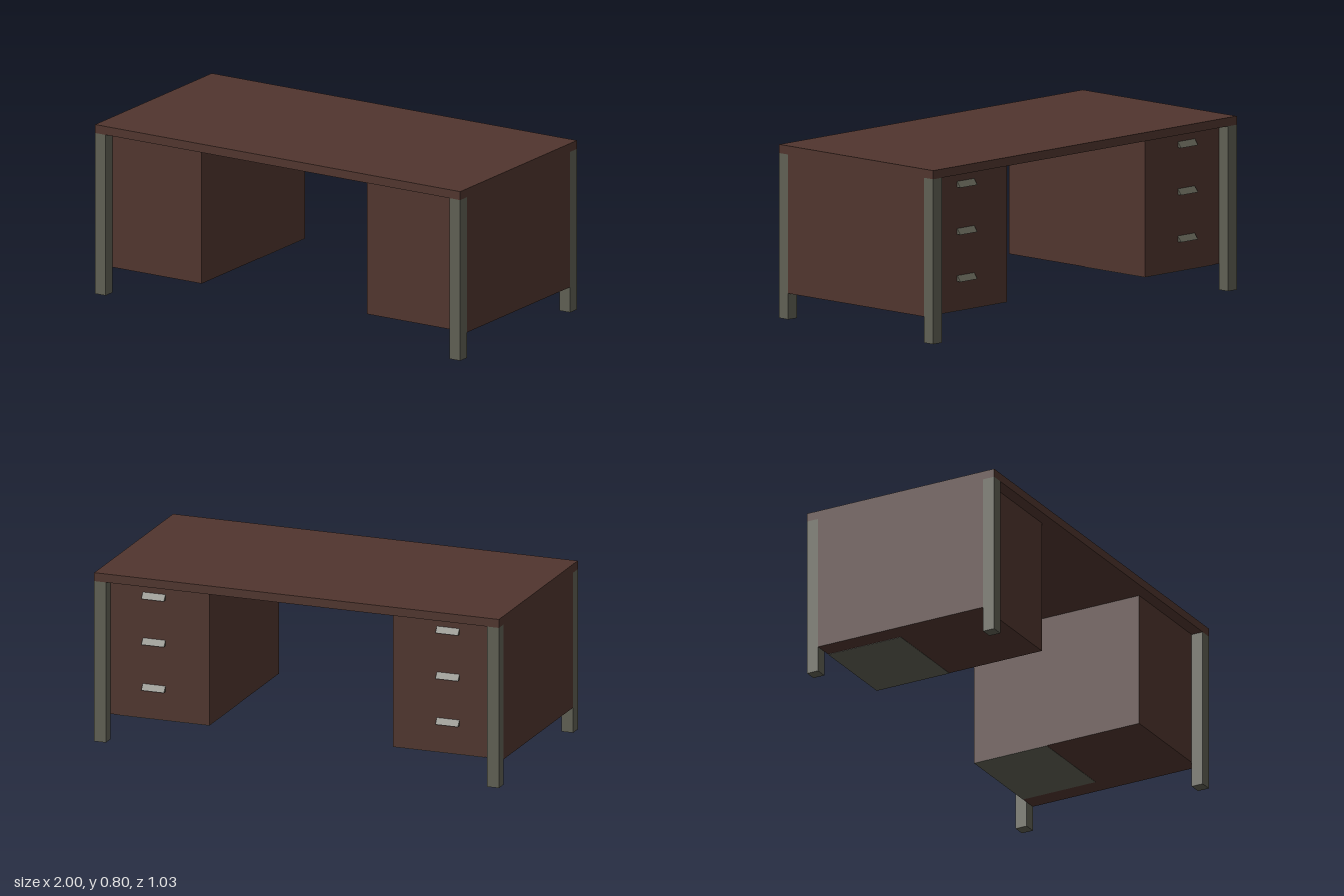
import * as THREE from 'three';

const W = 1.973, D = 0.975, H = 0.8;   // overall size
const TOP = 0.04, LEG = 0.057, UNDER = H - TOP;
const INNER = 0.447, FLOOR = 0.12;     // pedestal inner side and underside

export function createModel() {
  const wood = new THREE.MeshStandardMaterial({ color: 0x50352e });
  wood.name = 'brown wood';
  const metal = new THREE.MeshStandardMaterial({ color: 0x5f5f53 });
  metal.name = 'grey metal';

  const desk = new THREE.Group();
  desk.name = 'desk';
  const add = (name, geometry, material, x, y, z) => {
    const mesh = new THREE.Mesh(geometry, material);
    mesh.name = name;
    mesh.position.set(x, y, z);
    desk.add(mesh);
  };

  // Table top
  add('tableTop', new THREE.BoxGeometry(W, TOP, D), wood, 0, H - TOP / 2, 0);

  // Wedge-shaped pull, sloping down and away from the drawer face
  const pullWidth = 0.11;
  const wedge = new THREE.Shape([
    new THREE.Vector2(0, 0), new THREE.Vector2(0.021, 0), new THREE.Vector2(0, 0.027),
  ]);
  const pull = new THREE.ExtrudeGeometry(wedge, { depth: pullWidth, bevelEnabled: false });
  pull.translate(0, 0, -pullWidth / 2);
  pull.rotateY(Math.PI / 2);

  const pedW = W / 2 - INNER, pedD = D - 2 * LEG;
  const pedX = (W / 2 + INNER) / 2, backZ = -pedD / 2;

  for (const side of [-1, 1]) {
    const name = side > 0 ? 'left' : 'right';

    // Pedestal, recessed between the legs
    add(name + 'Pedestal', new THREE.BoxGeometry(pedW, UNDER - FLOOR, pedD), wood,
      side * pedX, (UNDER + FLOOR) / 2, 0);

    // Drawer bottom plate under the back of the pedestal
    const plateW = pedW * 0.83, plateD = pedD * 0.44;
    add(name + 'DrawerBottom', new THREE.BoxGeometry(plateW, 0.002, plateD), metal,
      side * (INNER + plateW / 2), FLOOR - 0.0005, backZ + plateD / 2);

    // Three drawer pulls on the back
    for (let i = 0; i < 3; i++) {
      add(name + 'DrawerPull' + (i + 1), pull, metal, side * pedX, 0.689 - i * 0.217, backZ);
    }

    // Corner legs
    for (const end of [-1, 1]) {
      add(name + (end > 0 ? 'Front' : 'Back') + 'Leg', new THREE.BoxGeometry(LEG, UNDER, LEG), metal,
        side * (W - LEG) / 2, UNDER / 2, end * (D - LEG) / 2);
    }
  }

  // The desk stands turned slightly
  desk.rotation.y = -0.028;
  const model = new THREE.Group();
  model.name = 'model';
  model.add(desk);
  return model;
}
